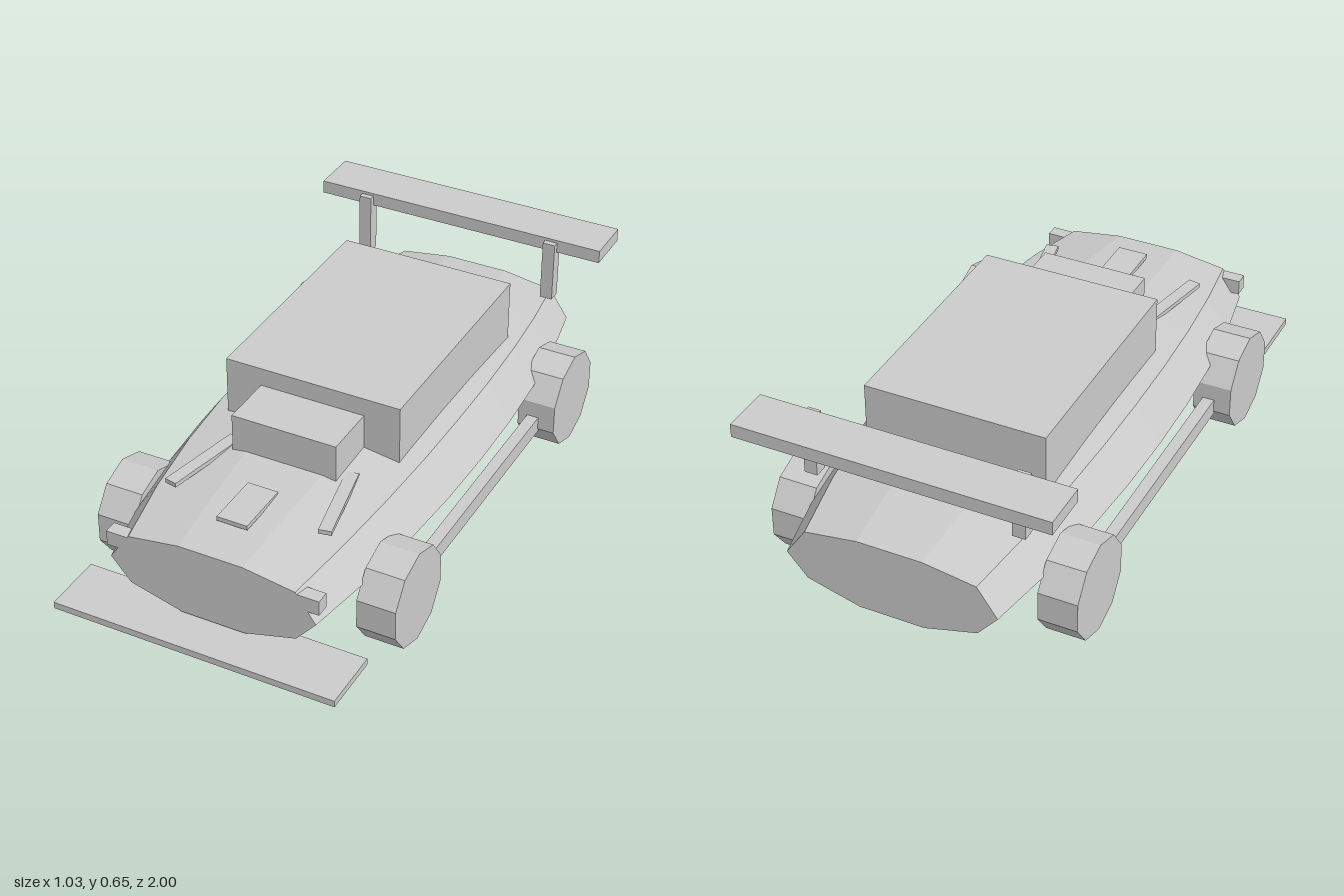
import * as THREE from 'three';

const material = new THREE.MeshStandardMaterial({ color: 0xcccccc, flatShading: true });

function add(parent, name, geometry, x = 0, y = 0, z = 0) {
  const mesh = new THREE.Mesh(geometry, material);
  mesh.name = name;
  mesh.position.set(x, y, z);
  parent.add(mesh);
  return mesh;
}

// Box given by its limits on each axis
function box(parent, name, [x0, x1], [y0, y1], [z0, z1]) {
  return add(parent, name, new THREE.BoxGeometry(x1 - x0, y1 - y0, z1 - z0),
    (x0 + x1) / 2, (y0 + y1) / 2, (z0 + z1) / 2);
}

// Ten-sided hull, swelling towards the middle, squarer above than below
function hullGeometry() {
  const sides = 10, segments = 8, front = 0.865, back = -0.998;
  const positions = [], indices = [];
  for (let i = 0; i <= segments; i++) {
    const u = 1 - (2 * i) / segments;
    const swell = 1 - Math.abs(u) ** 2.2;
    const halfWidth = 0.35 + 0.1 * swell;
    const centre = 0.242 + 0.028 * swell;
    const up = 0.127 + 0.034 * swell;
    const down = 0.132 + 0.056 * swell;
    const z = THREE.MathUtils.lerp(back, front, (u + 1) / 2);
    for (let j = 0; j < sides; j++) {
      const a = (j / sides) * Math.PI * 2, s = Math.sin(a);
      const y = s > 0 ? up * Math.sqrt(s) : down * s;
      positions.push(halfWidth * Math.cos(a), centre + (Math.abs(s) < 1e-6 ? 0 : y), z);
    }
  }
  for (let i = 0; i < segments; i++) {
    for (let j = 0; j < sides; j++) {
      const k = (j + 1) % sides;
      const a = i * sides + j, b = i * sides + k, c = a + sides, d = b + sides;
      indices.push(a, c, b, b, c, d);
    }
  }
  // End caps
  const last = segments * sides;
  for (let j = 1; j < sides - 1; j++) {
    indices.push(0, j, j + 1, last, last + j + 1, last + j);
  }
  const geometry = new THREE.BufferGeometry();
  geometry.setAttribute('position', new THREE.Float32BufferAttribute(positions, 3));
  geometry.setIndex(indices);
  const flat = geometry.toNonIndexed();
  flat.computeVertexNormals();
  return flat;
}

export function createModel() {
  const car = new THREE.Group();
  car.name = 'raceCar';

  add(car, 'body', hullGeometry());
  box(car, 'cabin', [-0.303, 0.303], [0.375, 0.595], [-0.585, 0.23]);
  box(car, 'airScoop', [-0.18, 0.18], [0.38, 0.533], [0.2, 0.415]);
  box(car, 'hoodVent', [-0.052, 0.052], [0.393, 0.408], [0.545, 0.735]);
  box(car, 'frontSplitter', [-0.48, 0.48], [0.085, 0.108], [0.79, 0.998]);
  box(car, 'rearWing', [-0.517, 0.517], [0.605, 0.65], [-0.988, -0.823]);

  // Ten-sided wheel with a corner at the top and the axle along x
  const wheel = new THREE.CylinderGeometry(0.163, 0.163, 0.13, 10);
  wheel.rotateZ(Math.PI / 2);
  wheel.rotateX(Math.PI / 2);
  wheel.computeBoundingBox();
  if (wheel.boundingBox.max.y < 0.16) wheel.rotateX(Math.PI / 10);

  for (const [side, s] of [['left', 1], ['right', -1]]) {
    const span = (a, b) => (s > 0 ? [a, b] : [-b, -a]);
    add(car, side + 'FrontWheel', wheel, s * 0.452, 0.163, 0.526);
    add(car, side + 'RearWheel', wheel, s * 0.452, 0.163, -0.66);
    box(car, side + 'SideSkirt', span(0.42, 0.46), [0.1, 0.157], [-0.56, 0.43]);
    box(car, side + 'WingStrut', span(0.322, 0.365), [0.43, 0.64], [-0.847, -0.803]);
    box(car, side + 'Headlight', span(0.24, 0.361), [0.282, 0.333], [0.82, 0.865]);
    const fin = add(car, side + 'HoodFin', new THREE.BoxGeometry(0.042, 0.015, 0.3),
      s * 0.235, 0.4, 0.5);
    fin.rotation.y = s * 0.2;
  }
  return car;
}
